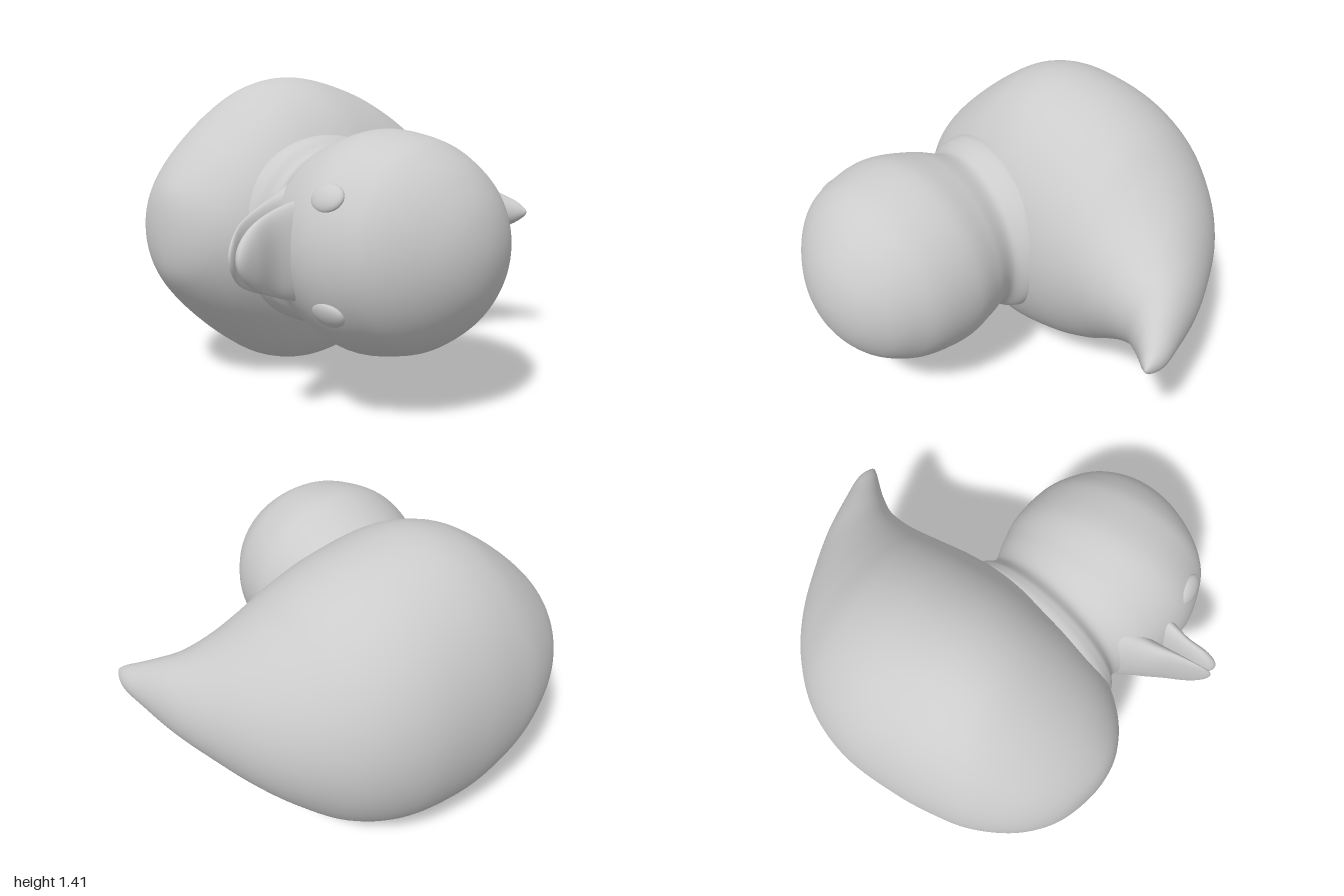
import * as THREE from 'three';
import { mergeVertices } from 'three/addons/utils/BufferGeometryUtils.js';

const MID = 0.705; // height of the symmetry plane
const material = new THREE.MeshStandardMaterial({ color: 0xcccccc });

// Smooth skin over elliptical sections. Each station is
// [px, pz, qx, qz, w]: the two ends of the section and its half width in y.
function loft(name, stations, rows, cols) {
  const mirrored = ([a, b, c, d, w]) => [c, d, a, b, -w]; // rounds off the ends
  const n = stations.length;
  const all = [mirrored(stations[1]), ...stations, mirrored(stations[n - 2])];
  const p = new THREE.CatmullRomCurve3(all.map(s => new THREE.Vector3(s[0], s[4], s[1])), false, 'catmullrom', 0.5);
  const q = new THREE.CatmullRomCurve3(all.map(s => new THREE.Vector3(s[2], s[4], s[3])), false, 'catmullrom', 0.5);
  const pos = [], idx = [];
  for (let i = 0; i <= rows; i++) {
    const t = (1 + (i / rows) * (n - 1)) / (n + 1);
    const a = p.getPoint(t), b = q.getPoint(t);
    for (let j = 0; j < cols; j++) {
      const ang = (j / cols) * Math.PI * 2;
      const k = (1 + Math.cos(ang)) / 2;
      pos.push(a.x + (b.x - a.x) * k, MID + a.y * Math.sin(ang), a.z + (b.z - a.z) * k);
      if (i < rows) {
        const j2 = (j + 1) % cols, r = i * cols, s = r + cols;
        idx.push(r + j, s + j, r + j2, s + j, s + j2, r + j2);
      }
    }
  }
  let geo = new THREE.BufferGeometry();
  geo.setAttribute('position', new THREE.Float32BufferAttribute(pos, 3));
  geo.setIndex(idx);
  geo = mergeVertices(geo, 1e-5);
  geo.computeVertexNormals();
  const mesh = new THREE.Mesh(geo, material);
  mesh.name = name;
  return mesh;
}

export function createModel() {
  const model = new THREE.Group();
  model.name = 'toyDuck';

  // Body, from the chest to the upturned tail tip
  model.add(loft('body', [
    [-0.82, -0.38, -0.82, -0.38, 0],
    [-0.80, -0.52, -0.80, -0.26, 0.16],
    [-0.73, -0.68, -0.73, -0.13, 0.28],
    [-0.60, -0.81, -0.60, -0.01, 0.42],
    [-0.42, -0.90, -0.42, 0.07, 0.57],
    [-0.25, -0.935, -0.25, 0.11, 0.67],
    [-0.05, -0.95, -0.05, 0.15, 0.705],
    [0.22, -0.935, 0.20, 0.16, 0.655],
    [0.45, -0.85, 0.38, 0.155, 0.56],
    [0.63, -0.70, 0.50, 0.155, 0.44],
    [0.76, -0.52, 0.62, 0.16, 0.33],
    [0.86, -0.30, 0.74, 0.185, 0.23],
    [0.93, -0.10, 0.83, 0.24, 0.16],
    [0.975, 0.10, 0.89, 0.29, 0.10],
    [1.00, 0.25, 0.94, 0.335, 0.05],
    [0.975, 0.345, 0.975, 0.345, 0],
  ], 120, 96));

  // Head with a flared neck that settles into the body
  model.add(loft('head', [
    [0.20, -0.10, -0.55, -0.30, 0.38],
    [0.24, 0.08, -0.64, -0.12, 0.43],
    [0.22, 0.145, -0.64, -0.03, 0.425],
    [0.155, 0.21, -0.61, 0.06, 0.388],
    [0.172, 0.32, -0.715, 0.21, 0.432],
    [0.187, 0.45, -0.785, 0.43, 0.47],
    [0.16, 0.62, -0.758, 0.62, 0.442],
    [0.11, 0.73, -0.70, 0.73, 0.392],
    [0.03, 0.835, -0.58, 0.835, 0.30],
    [-0.10, 0.915, -0.43, 0.915, 0.165],
    [-0.265, 0.945, -0.265, 0.945, 0],
  ], 100, 80));

  // Bill halves, with a narrow slit between them
  model.add(loft('lowerBill', [
    [-0.50, 0.26, -0.50, 0.04, 0.24],
    [-0.70, 0.26, -0.70, 0.125, 0.20],
    [-0.82, 0.262, -0.82, 0.187, 0.165],
    [-0.92, 0.27, -0.92, 0.23, 0.12],
    [-0.98, 0.287, -0.98, 0.258, 0.06],
    [-1.00, 0.282, -1.00, 0.282, 0],
  ], 40, 48));
  model.add(loft('upperBill', [
    [-0.50, 0.42, -0.50, 0.268, 0.22],
    [-0.70, 0.39, -0.70, 0.272, 0.20],
    [-0.82, 0.357, -0.82, 0.275, 0.165],
    [-0.92, 0.358, -0.92, 0.284, 0.12],
    [-0.98, 0.35, -0.98, 0.30, 0.06],
    [-1.00, 0.33, -1.00, 0.33, 0],
  ], 40, 48));

  // Raised oval eyes
  for (const side of [-1, 1]) {
    const eye = new THREE.Mesh(new THREE.SphereGeometry(1, 32, 20), material);
    eye.name = side > 0 ? 'upperEye' : 'lowerEye';
    eye.scale.set(0.03, 0.06, 0.08);
    eye.position.set(-0.713, MID + side * 0.22, 0.51);
    eye.rotation.z = -side * 0.52;
    model.add(eye);
  }
  return model;
}
